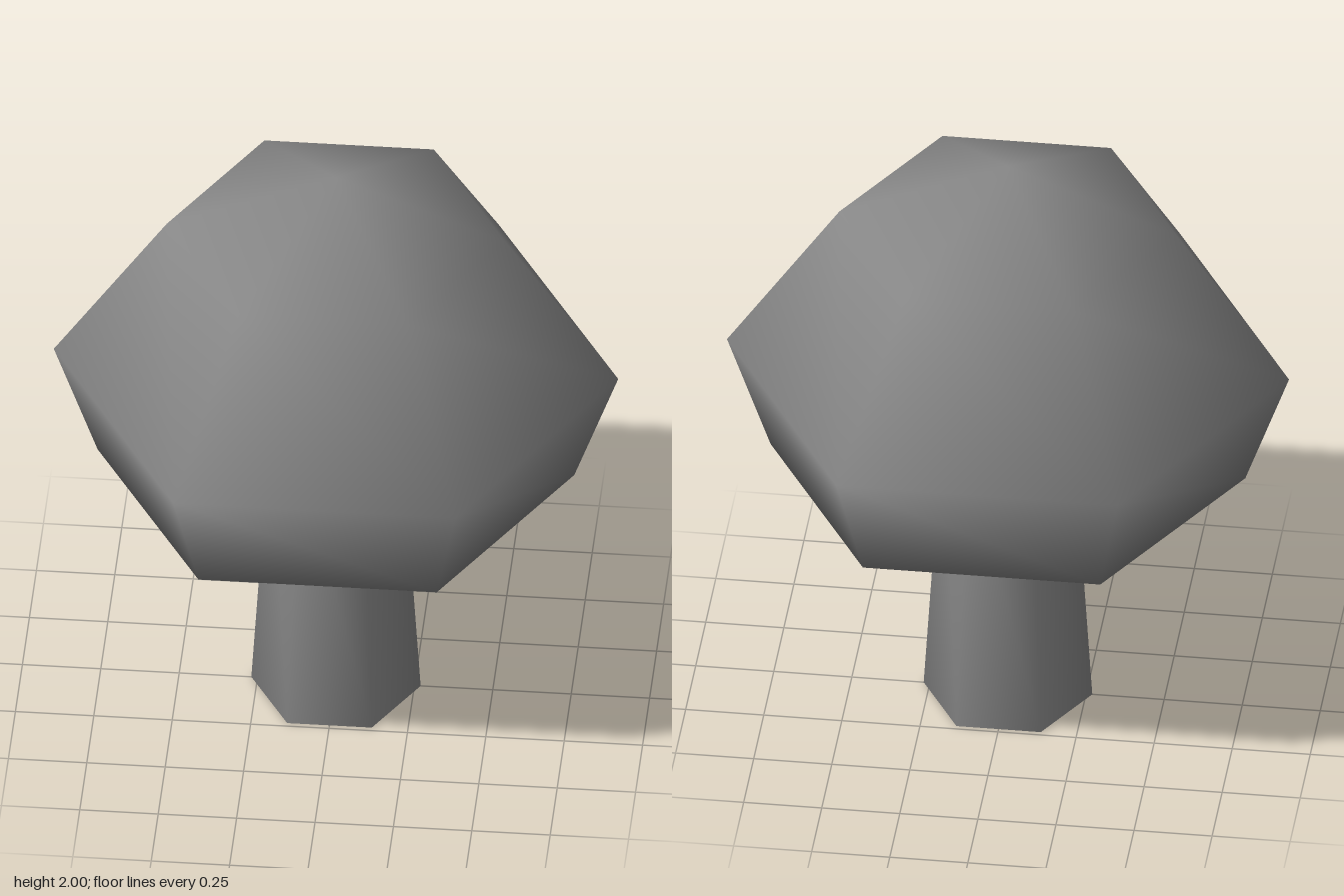
import * as THREE from 'three';
import { mergeVertices } from 'three/addons/utils/BufferGeometryUtils.js';

// Six-sided turned solid with fully smooth shading; profile runs bottom to top as [radius, y]
function hexLathe(profile) {
  const points = profile.map(([r, y]) => new THREE.Vector2(r, y));
  const lathe = new THREE.LatheGeometry(points, 6, Math.PI / 2);
  lathe.deleteAttribute('normal');
  lathe.deleteAttribute('uv');
  const geometry = mergeVertices(lathe, 1e-4);
  geometry.computeVertexNormals();
  return geometry;
}

export function createModel() {
  const model = new THREE.Group();
  model.name = 'mushroom';

  const stoneGrey = new THREE.MeshStandardMaterial({ color: 0x888888 });
  stoneGrey.name = 'stoneGrey';

  const parts = {
    // Tapered stem, its top tucked into the cap
    stem: [[0, 0], [0.27, 0], [0.208, 1.0], [0, 1.0]],
    // Domed cap with a flat underside
    cap: [[0, 0.87], [0.76, 0.87], [0.9, 1.26], [0.54, 1.78], [0, 2]],
  };

  for (const [name, profile] of Object.entries(parts)) {
    const mesh = new THREE.Mesh(hexLathe(profile), stoneGrey);
    mesh.name = name;
    model.add(mesh);
  }
  return model;
}
